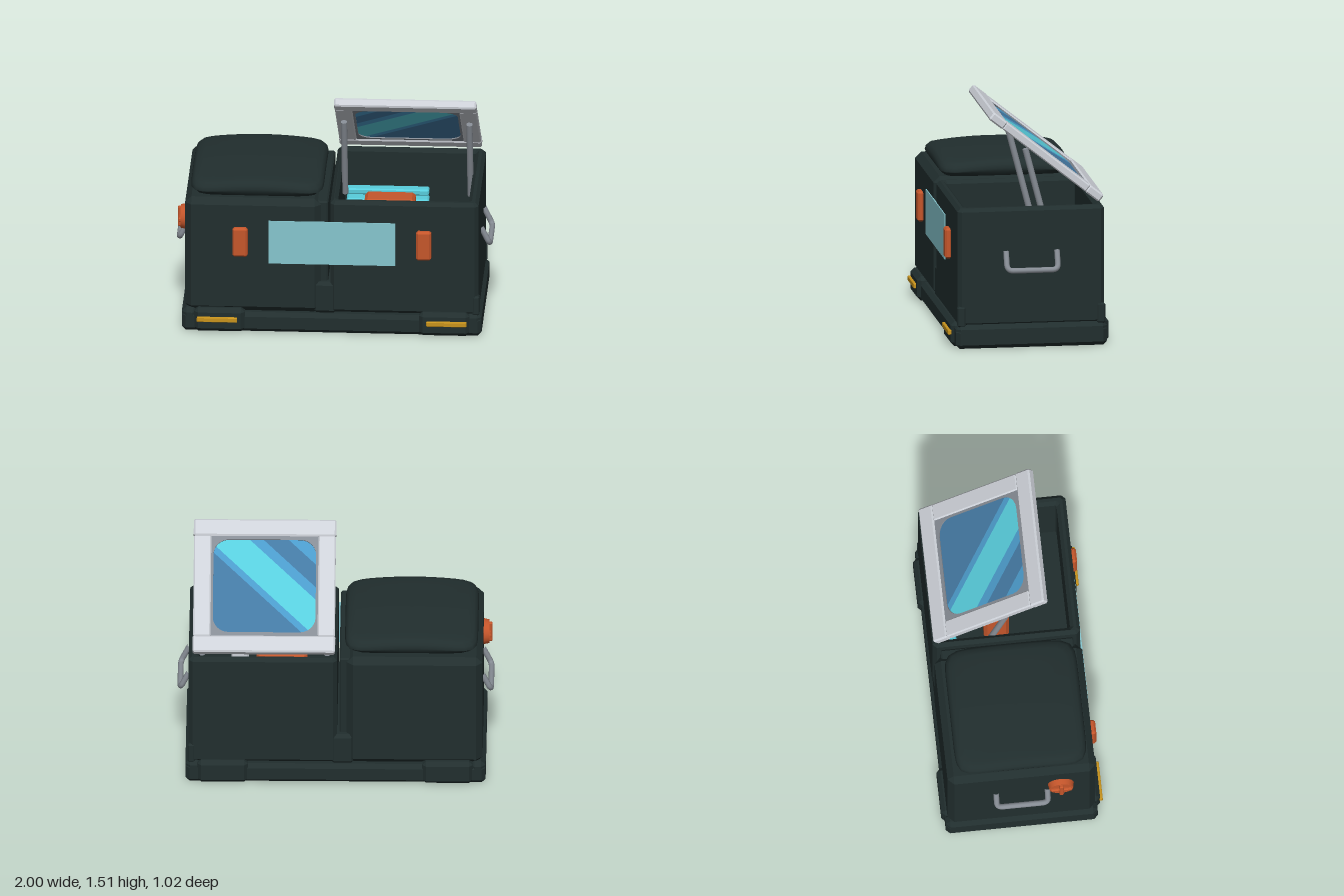
import * as THREE from 'three';
import { mergeVertices } from 'three/addons/utils/BufferGeometryUtils.js';
import { ConvexGeometry } from 'three/addons/geometries/ConvexGeometry.js';

const mat = (name, color) => {
  const m = new THREE.MeshStandardMaterial({ color });
  m.name = name;
  return m;
};

export function createModel() {
  const root = new THREE.Group();
  root.name = 'storageBench';
  const dark = mat('dark shell', 0x212e2e), light = mat('pale frame', 0xcdd1d8), grey = mat('grey metal', 0x868c94);
  const steel = mat('steel blue glass', 0x4479a3), mid = mat('mid blue glass', 0x4b9bca), cyan = mat('cyan glass', 0x58cddc);
  const pale = mat('pale teal panel', 0x86c6ce), orange = mat('orange', 0xc5562b), yellow = mat('yellow', 0xc8931c);

  const add = (name, geo, material, parent = root) => {
    const m = new THREE.Mesh(geo, material);
    m.name = name;
    parent.add(m);
    return m;
  };

  // box between two corners, every edge cut by a chamfer c
  const block = (name, x0, x1, y0, y1, z0, z1, c, material, parent) => {
    const h = [(x1 - x0) / 2, (y1 - y0) / 2, (z1 - z0) / 2], pts = [];
    for (const i of [-1, 1]) for (const j of [-1, 1]) for (const k of [-1, 1])
      for (let full = 0; full < 3; full++)
        pts.push(new THREE.Vector3(...[i, j, k].map((s, n) => s * (h[n] - (n === full ? 0 : c)))));
    const m = add(name, new ConvexGeometry(pts), material, parent);
    m.position.set((x0 + x1) / 2, (y0 + y1) / 2, (z0 + z1) / 2);
    return m;
  };

  // straight round bar between two points
  const rod = (name, a, b, r, material, parent) => {
    const d = b.clone().sub(a);
    const m = add(name, new THREE.CylinderGeometry(r, r, d.length(), 14), material, parent);
    m.position.copy(a).add(b).multiplyScalar(0.5);
    m.quaternion.setFromUnitVectors(new THREE.Vector3(0, 1, 0), d.normalize());
    return m;
  };

  const rectPath = (P, x0, x1, y0, y1, c) => new P([
    [x0 + c, y0], [x1 - c, y0], [x1, y0 + c], [x1, y1 - c], [x1 - c, y1], [x0 + c, y1], [x0, y1 - c], [x0, y0 + c],
  ].map(p => new THREE.Vector2(...p)));

  // base with raised pads and yellow strips
  block('base', -0.95, 0.945, 0, 0.13, -0.49, 0.475, 0.025, dark);
  for (const s of [-1, 1]) {
    block('baseEnd', s < 0 ? -0.95 : 0.84, s < 0 ? -0.85 : 0.945, 0, 0.155, -0.49, 0.475, 0.03, dark);
    const x0 = s < 0 ? -0.87 : 0.55;
    block('basePad', x0, x0 + 0.32, 0.005, 0.162, -0.51, 0.498, 0.025, dark);
    block('footStrip', s * 0.725 - 0.127, s * 0.725 + 0.127, 0.078, 0.11, 0.49, 0.515, 0.004, yellow);
    block('frontLight', s * 0.58 - 0.048, s * 0.58 + 0.048, 0.52, 0.715, 0.455, 0.498, 0.012, orange);
  }

  // closed half, slot between the halves, and link below the slot
  block('seatBlock', -0.93, -0.072, 0.13, 0.9, -0.475, 0.462, 0.04, dark);
  block('slotWall', -0.12, -0.027, 0.15, 0.88, -0.43, 0.415, 0.01, dark);
  block('link', -0.12, 0.03, 0.13, 0.34, -0.472, 0.455, 0.02, dark);

  // open half: hollow tub and floor
  const b = 0.022;
  const tub = rectPath(THREE.Shape, -0.012 + b, 0.925 - b, -0.475 + b, 0.462 - b, 0.012);
  tub.holes.push(rectPath(THREE.Path, 0.035 - b, 0.86 + b, -0.42 - b, 0.40 + b, 0.02));
  const tubGeo = new THREE.ExtrudeGeometry(tub, { depth: 0.76 - 2 * b, bevelSize: b, bevelThickness: b, bevelSegments: 1 });
  add('tub', tubGeo.rotateX(Math.PI / 2), dark).position.y = 0.9 - b;
  block('tubFloor', 0, 0.9, 0.15, 0.4, -0.45, 0.43, 0.01, dark);
  for (const z of [-0.452, 0.438]) block('cornerCap', 0.885, 0.932, 0.14, 0.27, z - 0.027, z + 0.027, 0.01, dark);

  // things kept in the tub
  block('toolCase', 0.18, 0.5, 0.42, 0.735, -0.13, 0.03, 0.02, orange);
  block('tealBar', 0.05, 0.57, 0.62, 0.66, -0.4, -0.33, 0.008, cyan);
  block('tealTray', 0.05, 0.57, 0.4, 0.6, -0.41, -0.31, 0.01, cyan);
  block('smallBox', 0.55, 0.66, 0.4, 0.68, -0.02, 0.08, 0.01, light);

  // front panel
  add('frontPanel', new THREE.BoxGeometry(0.8, 0.29, 0.008), pale).position.set(0, 0.615, 0.464);

  // cushion: a lathe squared off into a pillow with a domed top
  const prof = [[0, 0], [0.93, 0], [0.985, 0.025], [1, 0.05], [0.985, 0.075], [0.94, 0.095], [0.85, 0.104], [0.6, 0.11], [0.3, 0.114], [0, 0.116]];
  let cushion = new THREE.LatheGeometry(prof.map(p => new THREE.Vector2(...p)), 64);
  const cp = cushion.attributes.position;
  for (let i = 0; i < cp.count; i++) {
    const x = cp.getX(i), z = cp.getZ(i), y = cp.getY(i), r = Math.hypot(x, z);
    if (r < 1e-6) continue;
    const k = 1 / Math.pow(Math.pow(Math.abs(x / r), 9) + Math.pow(Math.abs(z / r), 9), 1 / 9);
    const corner = Math.min(1, (k - 1) / 0.3);
    cp.setXYZ(i, x * k * 0.42, y - (y > 0.05 ? 0.022 * corner * r * r : 0), z * k * 0.418);
  }
  cushion.deleteAttribute('normal');
  cushion.deleteAttribute('uv');
  cushion = mergeVertices(cushion, 1e-4);
  cushion.computeVertexNormals();
  add('seatCushion', cushion, dark).position.set(-0.48, 0.9, 0);

  // carrying handles, tilted outwards
  for (const s of [-1, 1]) {
    const P = (t, z) => new THREE.Vector3(s * (0.925 + 0.056 * t), 0.62 - 0.115 * t, z);
    const path = new THREE.CurvePath();
    path.add(new THREE.LineCurve3(P(0, 0.155), P(0.7, 0.155)));
    path.add(new THREE.QuadraticBezierCurve3(P(0.7, 0.155), P(1, 0.155), P(1, 0.115)));
    path.add(new THREE.LineCurve3(P(1, 0.115), P(1, -0.13)));
    path.add(new THREE.QuadraticBezierCurve3(P(1, -0.13), P(1, -0.17), P(0.7, -0.17)));
    path.add(new THREE.LineCurve3(P(0.7, -0.17), P(0, -0.17)));
    add('handle', new THREE.TubeGeometry(path, 48, 0.018, 10), grey);
  }

  // round knob with a cross grip
  const knob = new THREE.Group();
  knob.name = 'knob';
  knob.position.set(-0.93, 0.688, 0.24);
  root.add(knob);
  const disc = add('knobDisc', new THREE.CylinderGeometry(0.075, 0.083, 0.038, 20), orange, knob);
  disc.rotation.z = Math.PI / 2;
  disc.position.x = -0.017;
  block('knobGrip', -0.055, -0.02, -0.068, 0.068, -0.014, 0.014, 0.006, orange, knob);
  block('knobGrip', -0.05, -0.02, -0.014, 0.014, -0.068, 0.068, 0.006, orange, knob);

  // lid struts
  for (const x of [0.052, 0.845])
    rod('lidStrut', new THREE.Vector3(x, 0.72, -0.122), new THREE.Vector3(x, 1.262, 0.02), 0.02, grey);

  // tilted lid frame
  const lid = new THREE.Group();
  lid.name = 'lid';
  lid.position.set(0.45, 1.212, -0.108);
  lid.rotation.x = -0.67;
  root.add(lid);
  for (const s of [-1, 1]) {
    const z = s * 0.392, x = s * 0.393;
    block('lidEndBar', -0.45, 0.45, -0.028, 0.028, z - 0.056, z + 0.056, 0.01, light, lid);
    block('lidSideBar', x - 0.055, x + 0.055, -0.026, 0.026, -0.34, 0.34, 0.008, light, lid);
  }

  // rounded window outline
  const outline = (hx, hz, r) => {
    const pts = [];
    for (let q = 0; q < 4; q++) for (let i = 0; i <= 6; i++) {
      const a = (q + i / 6) * Math.PI / 2;
      const sx = q === 0 || q === 3 ? 1 : -1, sz = q < 2 ? 1 : -1;
      pts.push(new THREE.Vector2(sx * (hx - r) + r * Math.cos(a), sz * (hz - r) + r * Math.sin(a)));
    }
    return pts;
  };
  const plate = (name, shape, depth, material) => {
    const g = new THREE.ExtrudeGeometry(shape, { depth, bevelEnabled: false });
    add(name, g.rotateX(Math.PI / 2), material, lid).position.y = depth / 2;
  };
  const surround = rectPath(THREE.Shape, -0.342, 0.342, -0.34, 0.34, 0.01);
  surround.holes.push(new THREE.Path(outline(0.324, 0.312, 0.1)));
  plate('windowSurround', surround, 0.036, grey);

  // glass cut into diagonal bands
  const n = new THREE.Vector2(0.69, -0.72);
  const clip = (pts, limit, sign) => pts.flatMap((p, i) => {
    const q = pts[(i + 1) % pts.length];
    const dp = sign * (p.dot(n) - limit), dq = sign * (q.dot(n) - limit);
    const out = dp >= 0 ? [p] : [];
    if (dp * dq < 0) out.push(p.clone().lerp(q, dp / (dp - dq)));
    return out;
  });
  const bands = [[0.06, 1, steel], [0.02, 0.06, mid], [-0.16, 0.02, cyan], [-0.22, -0.16, mid], [-0.33, -0.22, steel], [-1, -0.33, mid]];
  for (const [lo, hi, material] of bands) {
    const pts = clip(clip(outline(0.326, 0.314, 0.1), lo, 1), hi, -1);
    if (pts.length > 2) plate('glassBand', new THREE.Shape(pts), 0.022, material);
  }

  return root;
}
